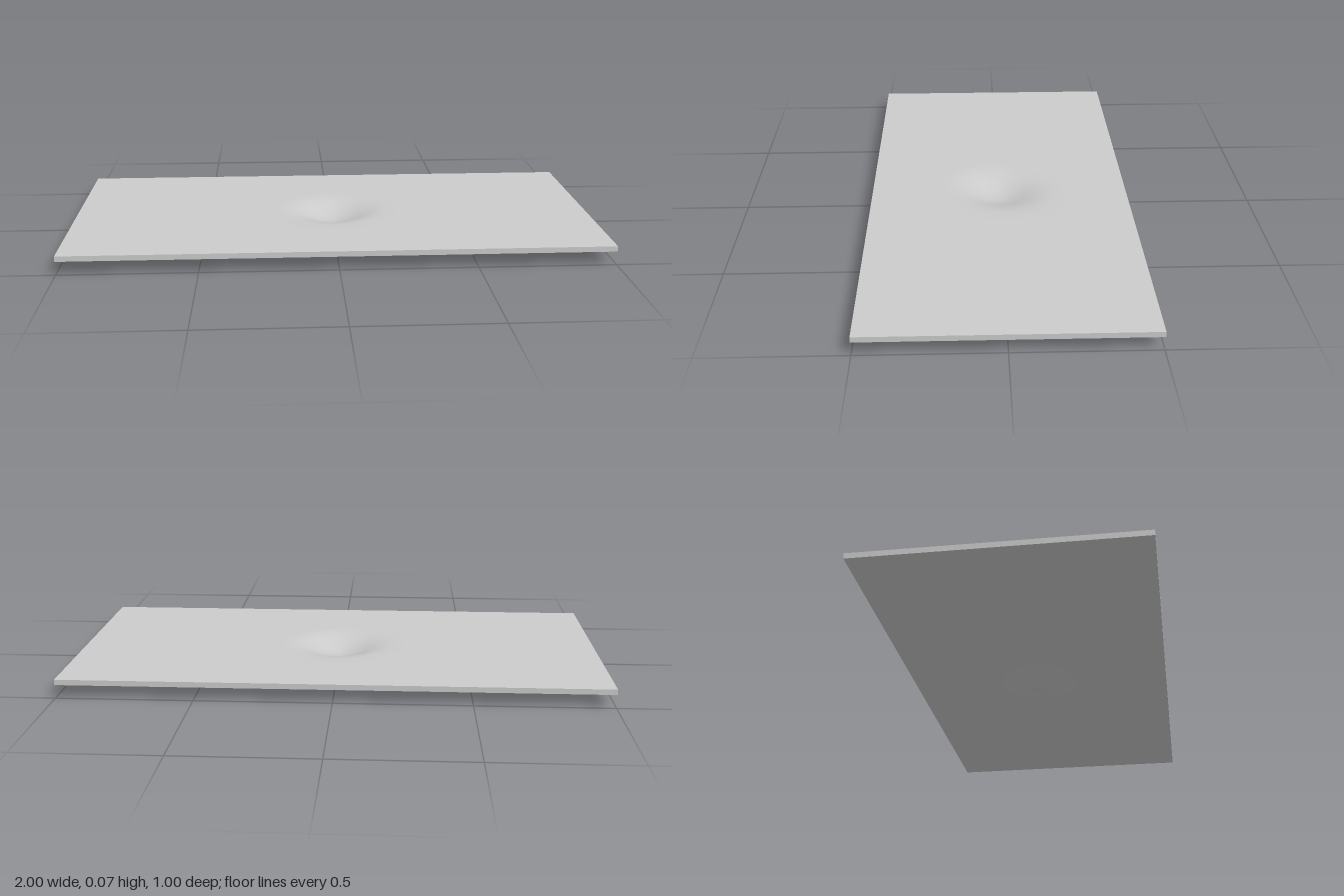
import * as THREE from 'three';

const WIDTH = 2, DEPTH = 1, THICKNESS = 0.02;
const DENT_RADIUS = 0.2, DENT_DEPTH = 0.05;

// Smooth cosine falloff from the dent's centre to its rim
function dentAt(x, z) {
  const r = Math.hypot(x, z);
  return r < DENT_RADIUS ? DENT_DEPTH * 0.5 * (1 + Math.cos(Math.PI * r / DENT_RADIUS)) : 0;
}

export function createModel() {
  const group = new THREE.Group();
  group.name = 'dentedSheet';

  // Thin sheet, both faces pushed down together around the centre
  const geometry = new THREE.BoxGeometry(WIDTH, THICKNESS, DEPTH, 40, 1, 20);
  geometry.translate(0, DENT_DEPTH + THICKNESS / 2, 0);
  const p = geometry.attributes.position;
  for (let i = 0; i < p.count; i++) {
    p.setY(i, p.getY(i) - dentAt(p.getX(i), p.getZ(i)));
  }
  geometry.computeVertexNormals();

  const sheet = new THREE.Mesh(geometry, new THREE.MeshStandardMaterial({ color: 0xcccccc }));
  sheet.name = 'sheet';
  group.add(sheet);
  return group;
}
